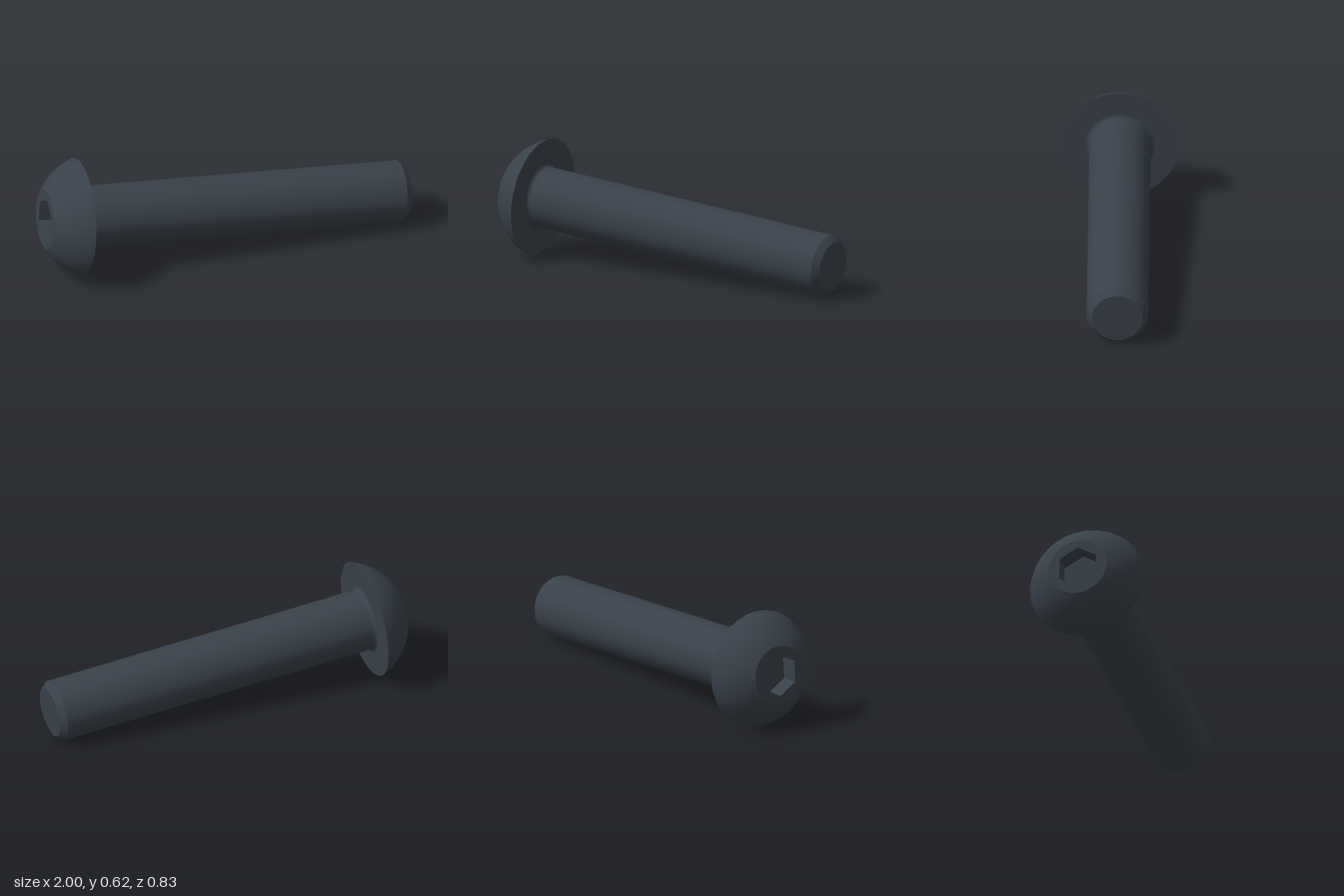
import * as THREE from 'three';

const SEGMENTS = 32;
const RIM_R = 0.312, FACE_R = 0.157, SHAFT_R = 0.162, TIP_R = 0.133;
const HEAD_H = 0.18, LENGTH = 1.804, CHAMFER = 0.034, FILLET = 0.022;
const SOCKET_R = 0.116, SOCKET_DEPTH = 0.1;

export function createModel() {
  const steel = new THREE.MeshStandardMaterial({ color: 0x39414a });
  steel.name = 'dark steel';

  // Local frame: y = 0 under the head, +y out through the socket
  const bolt = new THREE.Group();
  bolt.name = 'bolt';

  const add = (name, geometry) => {
    const mesh = new THREE.Mesh(geometry, steel);
    mesh.name = name;
    bolt.add(mesh);
    return mesh;
  };
  const lathe = (name, profile) =>
    add(name, new THREE.LatheGeometry(profile.map(([r, y]) => new THREE.Vector2(r, y)), SEGMENTS));
  const ring = (PathType, radius, count) => new PathType(
    Array.from({ length: count }, (_, i) => {
      const a = Math.PI / 2 + (i / count) * Math.PI * 2;
      return new THREE.Vector2(Math.cos(a) * radius, Math.sin(a) * radius);
    }));

  // Shank: flat tip, chamfer and plain cylinder
  lathe('tipFace', [[0, -LENGTH], [TIP_R, -LENGTH]]);
  lathe('tipChamfer', [[TIP_R, -LENGTH], [SHAFT_R, -LENGTH + CHAMFER]]);
  lathe('shank', [[SHAFT_R, -LENGTH + CHAMFER], [SHAFT_R, -FILLET]]);

  // Fillet blending the shank into the underside of the head
  const fillet = [];
  for (let i = 0; i <= 5; i++) {
    const a = (i / 5) * Math.PI / 2;
    fillet.push([SHAFT_R + FILLET * (1 - Math.cos(a)), FILLET * (Math.sin(a) - 1)]);
  }
  lathe('neckFillet', fillet);
  lathe('headUnderside', [[SHAFT_R + FILLET, 0], [RIM_R, 0]]);

  // Dome: part of a sphere centred on the axis, from rim to flat face
  const centre = (FACE_R ** 2 + HEAD_H ** 2 - RIM_R ** 2) / (2 * HEAD_H);
  const start = Math.atan2(-centre, RIM_R), end = Math.atan2(HEAD_H - centre, FACE_R);
  const sphereR = Math.hypot(RIM_R, centre);
  const dome = [];
  for (let i = 0; i <= 10; i++) {
    const a = start + (end - start) * i / 10;
    dome.push([sphereR * Math.cos(a), centre + sphereR * Math.sin(a)]);
  }
  lathe('headDome', dome);

  // Flat head face with the walls of the hexagonal socket
  const face = ring(THREE.Shape, FACE_R, SEGMENTS);
  face.holes.push(ring(THREE.Path, SOCKET_R, 6));
  const socket = new THREE.ExtrudeGeometry(face, { depth: SOCKET_DEPTH, bevelEnabled: false });
  socket.rotateX(-Math.PI / 2);
  add('headFaceAndSocket', socket).position.y = HEAD_H - SOCKET_DEPTH;

  const floor = new THREE.ShapeGeometry(ring(THREE.Shape, SOCKET_R, 6));
  floor.rotateX(-Math.PI / 2);
  add('socketFloor', floor).position.y = HEAD_H - SOCKET_DEPTH;

  // Lay the bolt down, resting on its rim and tip
  const axis = new THREE.Vector3(-0.9745, 0.082, -0.209).normalize();
  const up = new THREE.Vector3(0, 1, 0).addScaledVector(axis, -axis.y).normalize();
  const side = new THREE.Vector3().crossVectors(axis, up);
  bolt.quaternion.setFromRotationMatrix(new THREE.Matrix4().makeBasis(side, axis, up));
  bolt.position.set(-0.788, 0.311, -0.112);

  const model = new THREE.Group();
  model.name = 'buttonHeadBolt';
  model.add(bolt);
  return model;
}
